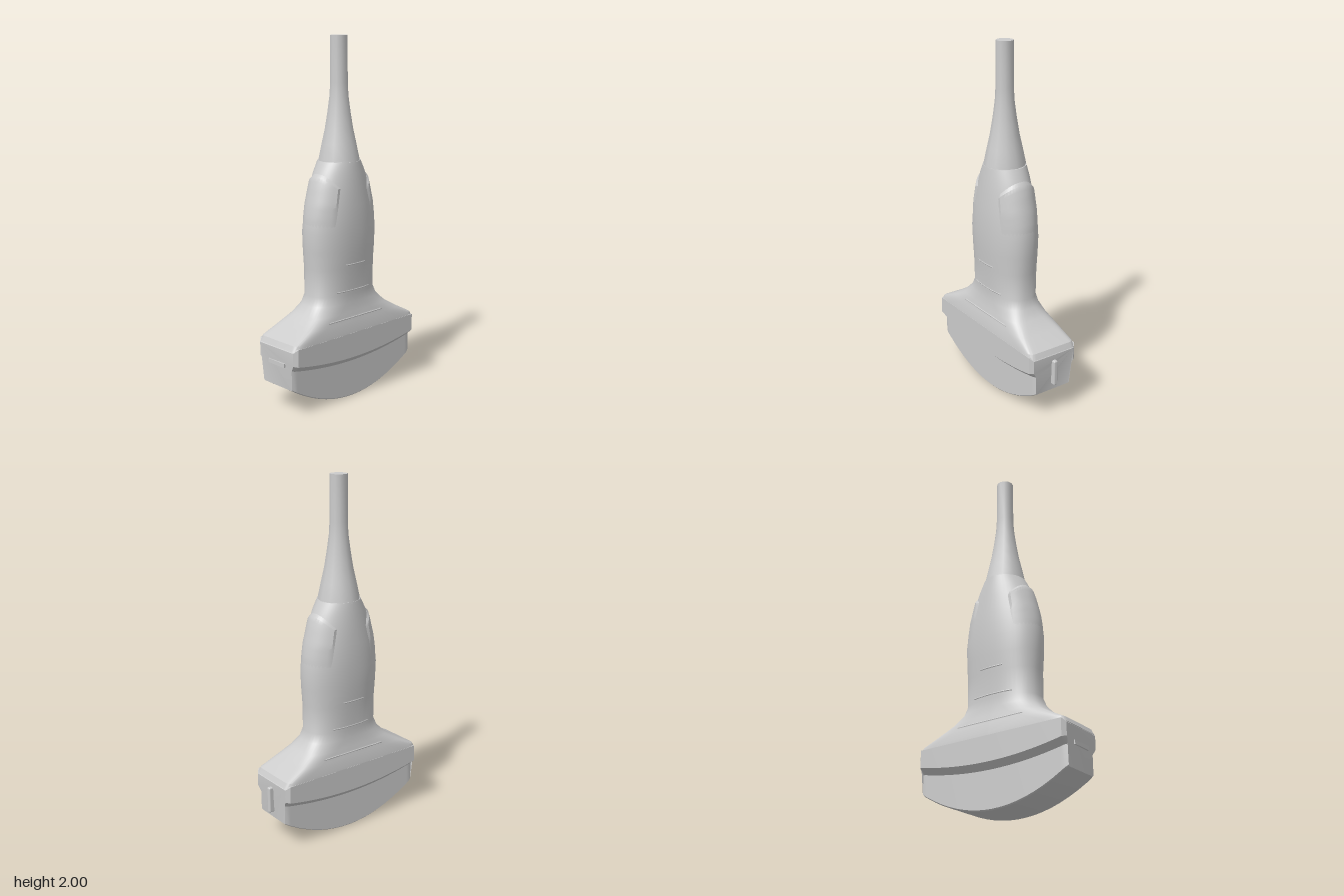
import * as THREE from 'three';
import { toCreasedNormals } from 'three/addons/utils/BufferGeometryUtils.js';
import { RoundedBoxGeometry } from 'three/addons/geometries/RoundedBoxGeometry.js';

const CX = -0.013; // the body sits slightly off centre because of the side marker

// handle profile: height, half width, half depth, squareness
const PROFILE = [
  [0.37, 0.467, 0.155, 16], [0.4, 0.453, 0.153, 14], [0.45, 0.362, 0.143, 8],
  [0.5, 0.285, 0.132, 4.5], [0.55, 0.24, 0.124, 3], [0.6, 0.223, 0.122, 2.5],
  [0.75, 0.225, 0.132, 2.3], [0.85, 0.233, 0.14, 2.2], [0.95, 0.236, 0.143, 2.2],
  [1.03, 0.229, 0.142, 2.1], [1.1, 0.214, 0.139, 2.1], [1.2, 0.184, 0.131, 2],
  [1.27, 0.156, 0.124, 2], [1.33, 0.122, 0.116, 2],
];

// point on the handle surface, pushed outward by off
function surface(y, angle, off = 0) {
  let i = 0;
  while (i < PROFILE.length - 2 && y > PROFILE[i + 1][0]) i++;
  const p = PROFILE[i], q = PROFILE[i + 1];
  const t = (y - p[0]) / (q[0] - p[0]);
  const [a, b, n] = [1, 2, 3].map((k) => p[k] + (q[k] - p[k]) * t);
  const pow = (v) => Math.sign(v) * Math.abs(v) ** (2 / n);
  return [(a + off) * pow(Math.cos(angle)), y, (b + off) * pow(Math.sin(angle))];
}

// skin a list of rings; closed rings also get end caps
function loft(rings, closed, crease = 0.5) {
  const m = rings[0].length, pos = rings.flat(2), idx = [];
  for (let i = 0; i < rings.length - 1; i++) {
    for (let j = 0; j < (closed ? m : m - 1); j++) {
      const k = (j + 1) % m, a = i * m + j, b = i * m + k;
      idx.push(a, a + m, b, b, a + m, b + m);
    }
  }
  if (closed) {
    const last = (rings.length - 1) * m;
    for (let j = 1; j < m - 1; j++) {
      idx.push(0, j, j + 1, last, last + j + 1, last + j);
    }
  }
  const g = new THREE.BufferGeometry();
  g.setAttribute('position', new THREE.Float32BufferAttribute(pos, 3));
  g.setIndex(idx);
  return toCreasedNormals(g, crease);
}

const range = (n, f) => Array.from({ length: n + 1 }, (_, i) => f(i / n));

export function createModel() {
  const model = new THREE.Group();
  const grey = new THREE.MeshStandardMaterial({ color: 0xcccccc });
  const thin = new THREE.MeshStandardMaterial({ color: 0xcccccc, side: THREE.DoubleSide });
  const add = (name, geometry, material = grey) => {
    const mesh = new THREE.Mesh(geometry, material);
    mesh.name = name;
    mesh.position.x = CX;
    model.add(mesh);
    return mesh;
  };

  // handle flaring down into the rectangular head
  const handleRings = PROFILE.map(([y]) =>
    range(47, (t) => surface(y, (t * 47 / 48) * Math.PI * 2)));
  add('handle', loft(handleRings, true));

  // head: cross-sections along x with a curved step and a curved lens below
  const stations = [-1, -0.96, ...range(16, (t) => -0.92 + 1.84 * t), 0.96, 1];
  const headRings = stations.map((s) => {
    const inset = 0.02 * Math.max(0, (Math.abs(s) - 0.96) / 0.04);
    const step = 0.243 + 0.05 * s * s, lens = 0.148 * s * s;
    const half = [
      [0.385 - inset, 0.155 - inset, 1], [step, 0.155 - inset, 1],
      [step - 0.033, 0.121 - inset / 3, 0.985], [lens + 0.006, 0.121 - inset / 3, 0.985],
      [lens, 0.115 - inset / 3, 0.98],
    ];
    const point = (side) => ([y, z, w]) => [0.467 * s * w, y, side * z];
    return [...half.map(point(-1)), ...half.map(point(1)).reverse()];
  });
  add('head', loft(headRings, true, 0.4));

  // tapering strain relief and cable
  const relief = [
    [0.118, 1.32], [0.115, 1.34], [0.098, 1.42], [0.08, 1.5], [0.065, 1.59],
    [0.053, 1.68], [0.049, 1.75], [0.048, 2],
  ].map(([r, y]) => new THREE.Vector2(r, y));
  add('strainRelief', toCreasedNormals(new THREE.LatheGeometry(relief, 12), 0.6), thin);
  const end = add('cableEnd', new THREE.CircleGeometry(0.048, 12));
  end.rotation.set(-Math.PI / 2, 0, Math.PI / 2);
  end.position.y = 2;

  // raised grip pads with arched tops, fading into the handle below
  for (const [name, centre] of [['leftGrip', 0], ['rightGrip', Math.PI]]) {
    const rows = range(14, (v) => range(18, (u) => {
      const s = u * 2 - 1;
      const top = 1.275 - 0.08 * s * s;
      const y = 0.95 + (top - 0.95) * v;
      const edge = Math.abs(s) > 0.99 || v > 0.99;
      return surface(y, centre + s * 1.05, edge ? -0.004 : 0.013 * v - 0.002);
    }));
    add(name, loft(rows, false), thin);
  }

  // faint finger ridges on front and back
  for (const facing of [1, -1]) {
    for (const [y, spread] of [[0.47, 0.2], [0.62, 0.5], [0.77, 0.28]]) {
      const rows = range(2, (v) => range(10, (u) =>
        surface(y + (v - 0.5) * 0.016, facing * Math.PI / 2 + (u * 2 - 1) * spread,
          v === 0.5 ? 0.002 : -0.002)));
      add('fingerRidge', loft(rows, false), thin);
    }
  }

  // orientation marker on the left end, flat slot plate on the right end
  const marker = add('orientationMarker', new RoundedBoxGeometry(0.04, 0.15, 0.026, 2, 0.008));
  marker.position.set(0.456, 0.26, 0);
  const plate = add('slotPlate', new THREE.BoxGeometry(0.012, 0.022, 0.13));
  plate.position.set(-0.477, 0.28, 0);
  return model;
}
